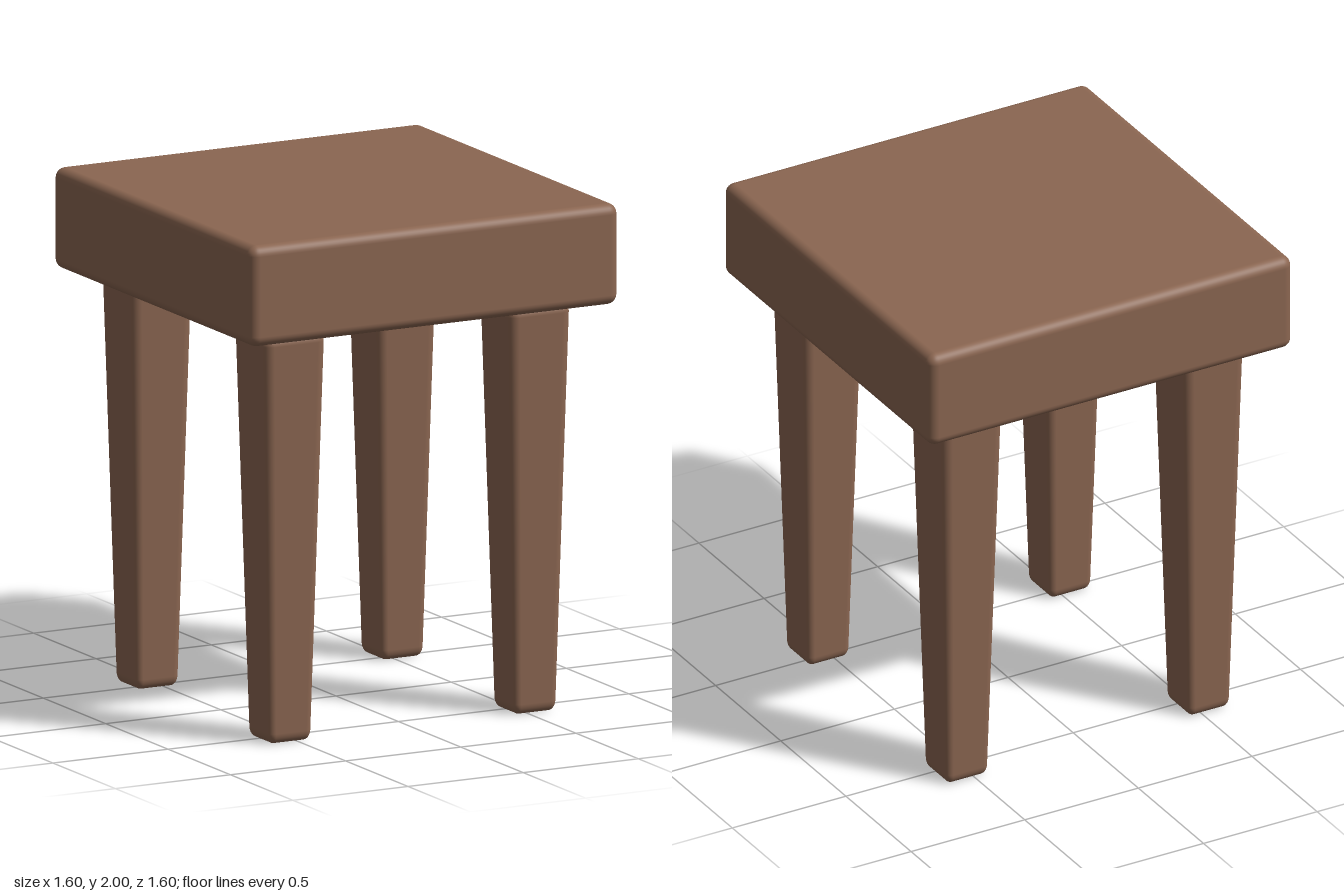
import * as THREE from 'three';
import { RoundedBoxGeometry } from 'three/addons/geometries/RoundedBoxGeometry.js';

const LEG_HEIGHT = 1.605, LEG_TOP = 0.27, LEG_BOTTOM = 0.184, LEG_OFFSET = 0.532;

// Rounded square post that narrows evenly towards the floor, base at y = 0
function taperedLeg() {
  const geometry = new RoundedBoxGeometry(LEG_TOP, LEG_HEIGHT, LEG_TOP, 4, 0.04);
  geometry.translate(0, LEG_HEIGHT / 2, 0);
  const p = geometry.attributes.position, n = geometry.attributes.normal;
  const base = LEG_BOTTOM / LEG_TOP, slope = (1 - base) / LEG_HEIGHT;
  const normal = new THREE.Vector3();
  for (let i = 0; i < p.count; i++) {
    const x = p.getX(i), y = p.getY(i), z = p.getZ(i), s = base + slope * y;
    normal.fromBufferAttribute(n, i);
    // keep the smooth normals square to the sloping sides
    normal.y -= (slope / s) * (x * normal.x + z * normal.z);
    normal.x /= s;
    normal.z /= s;
    normal.normalize();
    n.setXYZ(i, normal.x, normal.y, normal.z);
    p.setXYZ(i, x * s, y, z * s);
  }
  return geometry;
}

export function createModel() {
  const model = new THREE.Group();
  model.name = 'stool';
  const wood = new THREE.MeshStandardMaterial({ color: 0x8b6651 });
  wood.name = 'brown wood';

  // Thick square seat
  const seat = new THREE.Mesh(new RoundedBoxGeometry(1.6, 0.395, 1.6, 4, 0.04), wood);
  seat.name = 'seat';
  seat.position.y = 2 - 0.395 / 2;
  model.add(seat);

  // Four matching legs
  const legGeometry = taperedLeg();
  for (const [zName, z] of [['front', 1], ['back', -1]]) {
    for (const [xName, x] of [['Left', 1], ['Right', -1]]) {
      const leg = new THREE.Mesh(legGeometry, wood);
      leg.name = `${zName}${xName}Leg`;
      leg.position.set(x * LEG_OFFSET, 0, z * LEG_OFFSET);
      model.add(leg);
    }
  }
  return model;
}
